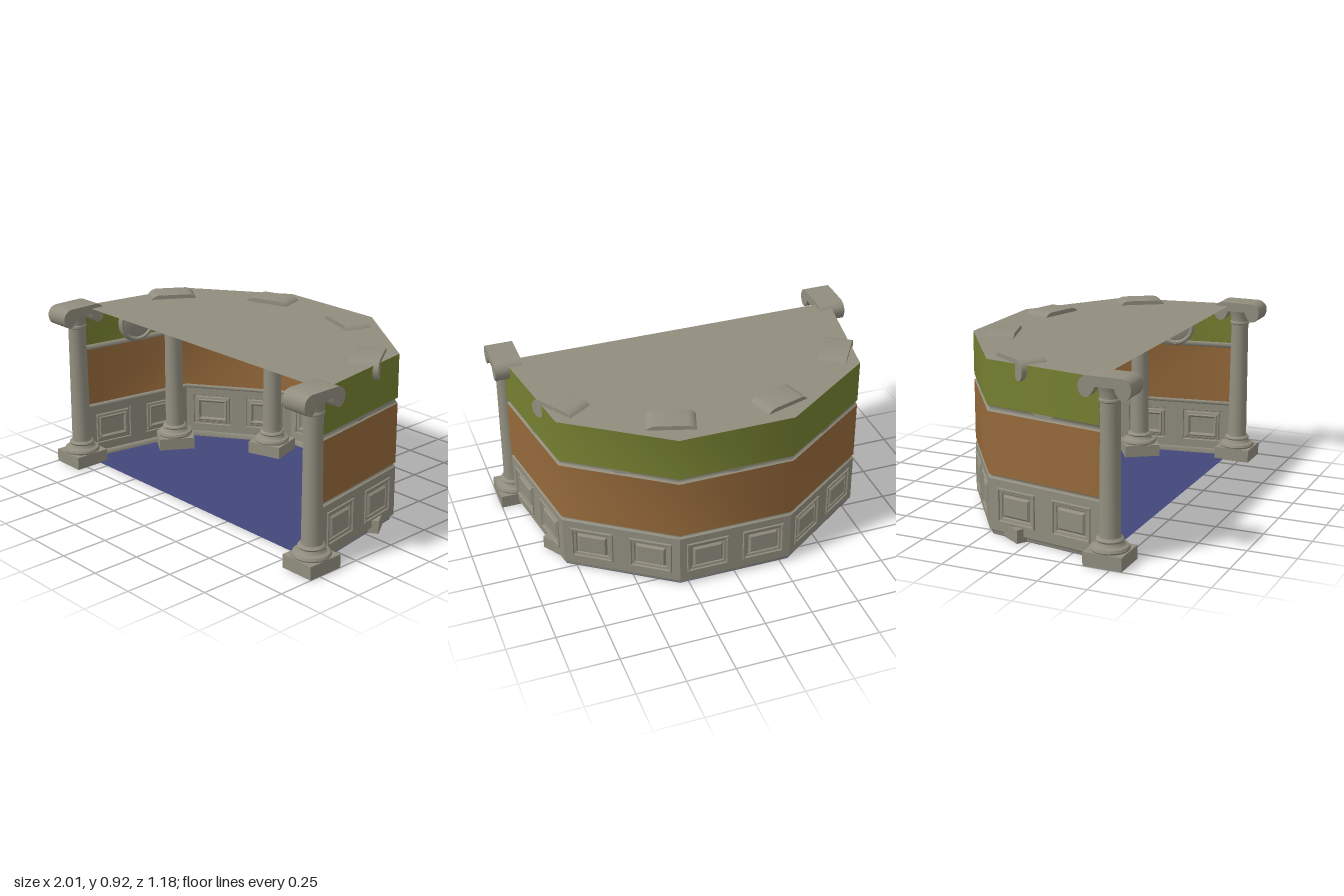
import * as THREE from 'three';
import { toCreasedNormals } from 'three/addons/utils/BufferGeometryUtils.js';

const mat = (name, color) => {
  const m = new THREE.MeshStandardMaterial({ color, side: THREE.DoubleSide });
  m.name = name;
  return m;
};
const V2 = (x, y) => new THREE.Vector2(x, y);

// Floor plan (x, z) of the half-round room, open to the front
const PLAN = [[-0.915, 0.41], [-0.81, -0.23], [-0.3, -0.585], [0.3, -0.585], [0.81, -0.23], [0.915, 0.41]]
  .map(p => V2(...p));
const normalOf = i => {
  const d = PLAN[i + 1].clone().sub(PLAN[i]).normalize();
  return V2(d.y, -d.x);
};

// Plan moved outward by o, with mitred corners
function offsetPlan(o) {
  return PLAN.map((p, i) => {
    const a = normalOf(Math.max(i - 1, 0)), b = normalOf(Math.min(i, PLAN.length - 2));
    const m = a.clone().add(b).normalize();
    return p.clone().addScaledVector(m, o / m.dot(a));
  });
}

// Grid of points, rows by columns, joined into a surface
function gridGeometry(rows) {
  const n = rows[0].length, pos = rows.flat(2), idx = [];
  for (let r = 0; r < rows.length - 1; r++) {
    for (let c = 0; c < n - 1; c++) {
      const a = r * n + c, b = a + n;
      idx.push(a, a + 1, b, a + 1, b + 1, b);
    }
  }
  const g = new THREE.BufferGeometry();
  g.setAttribute('position', new THREE.Float32BufferAttribute(pos, 3));
  g.setIndex(idx);
  g.computeVertexNormals();
  return g;
}

// Wall band: a profile of [offset, y] swept along the plan, top to bottom
const band = profile => gridGeometry(profile.map(([o, y]) => offsetPlan(o).map(p => [p.x, y, p.y])));

// Stepped rectangular relief; each step is [inset, depth]
function reliefGeometry(w, h, steps) {
  const rows = steps.map(([s, z]) => {
    const x = w / 2 - s, y = h / 2 - s;
    return [[x, y, z], [x, -y, z], [-x, -y, z], [-x, y, z], [x, y, z]];
  });
  rows.push(rows[0].map(() => [0, 0, steps[steps.length - 1][1]]));
  return toCreasedNormals(gridGeometry(rows), 0.2);
}

// Scroll-ended block for the column tops
function capitalGeometry() {
  const s = new THREE.Shape();
  s.moveTo(-0.085, 0.915);
  s.lineTo(0.085, 0.915);
  s.bezierCurveTo(0.115, 0.91, 0.133, 0.89, 0.132, 0.862);
  s.bezierCurveTo(0.13, 0.82, 0.1, 0.805, 0.08, 0.815);
  s.quadraticCurveTo(0.06, 0.83, 0.048, 0.865);
  s.lineTo(-0.048, 0.865);
  s.quadraticCurveTo(-0.06, 0.83, -0.08, 0.815);
  s.bezierCurveTo(-0.1, 0.805, -0.13, 0.82, -0.132, 0.862);
  s.bezierCurveTo(-0.133, 0.89, -0.115, 0.91, -0.085, 0.915);
  const g = new THREE.ExtrudeGeometry(s, { depth: 0.145, bevelEnabled: false, curveSegments: 6 });
  g.translate(0, 0, -0.0725);
  return toCreasedNormals(g, 0.8);
}

export function createModel() {
  const root = new THREE.Group();
  const stone = mat('stone', 0x918e7f), green = mat('greenPaint', 0x747f30);
  const brown = mat('brownPaint', 0x95693a), blue = mat('blueFloor', 0x42477a);
  const add = (parent, name, geo, material, x = 0, y = 0, z = 0) => {
    const m = new THREE.Mesh(geo, material);
    m.name = name;
    m.position.set(x, y, z);
    parent.add(m);
    return m;
  };

  // Floor and ceiling slabs
  const slab = o => new THREE.ShapeGeometry(new THREE.Shape(offsetPlan(o))).rotateX(Math.PI / 2);
  add(root, 'floor', slab(-0.015), blue, 0, 0.004, 0);
  add(root, 'roof', slab(0), stone, 0, 0.893, 0);

  // Wall bands from top to bottom
  add(root, 'upperWall', band([[0, 0.893], [0, 0.665]]), green);
  add(root, 'upperMoulding', band([[0, 0.665], [-0.012, 0.66], [-0.012, 0.64], [0, 0.635]]), stone);
  add(root, 'middleWall', band([[0, 0.635], [0, 0.317]]), brown);
  add(root, 'chairRail', band([[0, 0.317], [-0.012, 0.313], [-0.012, 0.299], [0, 0.295]]), stone);
  add(root, 'skirting', band([[0, 0.03], [-0.018, 0.028], [-0.018, 0]]), stone);

  // Round medallion, facing into the room
  const medallion = new THREE.LatheGeometry([[0, 0], [0.11, 0], [0.112, 0.016], [0.103, 0.032], [0.092, 0.032],
    [0.085, 0.02], [0.075, 0.024], [0, 0.026]].map(p => V2(...p)), 28).rotateX(-Math.PI / 2);
  const medallionGeo = toCreasedNormals(medallion, 0.5);

  // Wainscot with two panels per wall, and a medallion above
  const PW = 0.225, PH = 0.18, PY = 0.165;
  const panelGeo = reliefGeometry(PW, PH,
    [[0, 0], [0.003, 0.007], [0.01, 0.007], [0.014, 0], [0.026, -0.002], [0.03, -0.008], [0.034, -0.008], [0.044, 0.003]]);
  for (let i = 0; i < PLAN.length - 1; i++) {
    const a = PLAN[i], b = PLAN[i + 1], n = normalOf(i), half = a.distanceTo(b) / 2;
    const wall = new THREE.Group();
    wall.name = 'wallSection' + (i + 1);
    wall.position.set((a.x + b.x) / 2, 0, (a.y + b.y) / 2);
    wall.rotation.y = Math.atan2(n.x, n.y);
    root.add(wall);
    const sheet = new THREE.Shape([V2(-half, 0.03), V2(half, 0.03), V2(half, 0.295), V2(-half, 0.295)]);
    for (const s of [-1, 1]) {
      const x = s * half / 2, w = PW / 2, h = PH / 2;
      sheet.holes.push(new THREE.Path([V2(x - w, PY - h), V2(x - w, PY + h), V2(x + w, PY + h), V2(x + w, PY - h)]));
      add(wall, 'panel', panelGeo, stone, x, PY, 0);
    }
    add(wall, 'wainscot', new THREE.ShapeGeometry(sheet), stone);
    add(wall, 'medallion', medallionGeo, stone, 0, 0.752, -0.004);
  }

  // Scrolled brackets either side of the middle medallion
  for (const s of [-1, 1]) {
    const b = new THREE.Shape();
    b.moveTo(0.06, 0.66);
    b.lineTo(0.185, 0.66);
    b.quadraticCurveTo(0.19, 0.685, 0.165, 0.688);
    b.quadraticCurveTo(0.165, 0.715, 0.142, 0.715);
    b.quadraticCurveTo(0.148, 0.745, 0.128, 0.75);
    b.quadraticCurveTo(0.128, 0.78, 0.1, 0.785);
    b.lineTo(0.06, 0.785);
    const g = new THREE.ExtrudeGeometry(b, { depth: 0.014, bevelEnabled: false, curveSegments: 4 });
    if (s < 0) g.rotateY(Math.PI).translate(0, 0, 0.014);
    add(root, 'medallionBracket', g, stone, 0, 0, -0.582);
  }

  // Columns: plinth, turned shaft and scrolled capital
  const shaftGeo = toCreasedNormals(new THREE.LatheGeometry([[0.094, 0.068], [0.098, 0.078], [0.092, 0.09],
    [0.075, 0.094], [0.066, 0.106], [0.064, 0.112], [0.069, 0.12], [0.064, 0.128], [0.054, 0.132], [0.052, 0.15],
    [0.047, 0.785], [0.054, 0.79], [0.054, 0.8], [0.05, 0.805], [0.052, 0.835], [0.064, 0.87]].map(p => V2(...p)), 20), 0.7);
  const plinthGeo = new THREE.BoxGeometry(0.19, 0.07, 0.2);
  const capitalGeo = capitalGeometry();
  for (const [x, z, turn] of [[0.905, 0.46, Math.PI / 2], [0.74, -0.08, 0.994], [0.283, -0.415, 0.3]]) {
    for (const s of [-1, 1]) {
      const column = new THREE.Group();
      column.name = s < 0 ? 'rightColumn' : 'leftColumn';
      column.position.set(s * x, 0, z);
      column.rotation.y = -s * turn;
      add(column, 'plinth', plinthGeo, stone, 0, 0.035, 0).rotation.y = Math.PI / 2;
      add(column, 'shaft', shaftGeo, stone);
      add(column, 'capital', capitalGeo, stone);
      root.add(column);
    }
  }
  return root;
}
